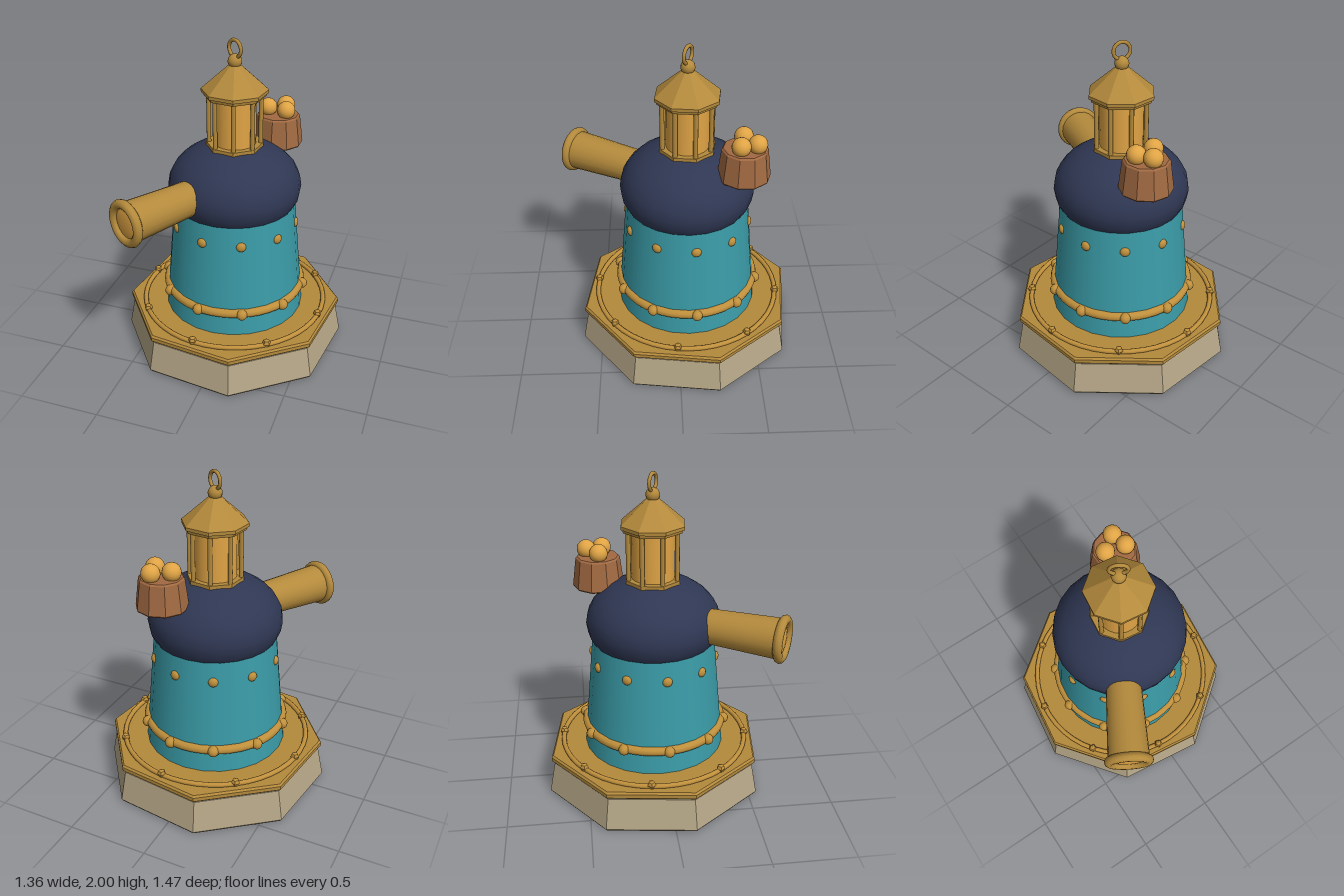
import * as THREE from 'three';

const mat = (name, color) => {
  const m = new THREE.MeshStandardMaterial({ color });
  m.name = name;
  return m;
};
const rad = THREE.MathUtils.degToRad;

export function createModel() {
  const stone = mat('stone', 0xb5a687);
  const gold = mat('gold', 0xb48a3c);
  const brass = mat('brass', 0xc0903c);
  const teal = mat('teal', 0x3a9ba7);
  const navy = mat('navy', 0x2f3753);
  const clay = mat('clay', 0xa26a42);
  const amber = mat('amber', 0xe0a445);

  const model = new THREE.Group();
  model.name = 'lanternTower';
  const tower = new THREE.Group(); // everything turns around this axis
  tower.name = 'tower';
  tower.position.z = -0.06;
  model.add(tower);

  const add = (parent, name, geometry, material, x = 0, y = 0, z = 0) => {
    const mesh = new THREE.Mesh(geometry, material);
    mesh.name = name;
    mesh.position.set(x, y, z);
    parent.add(mesh);
    return mesh;
  };
  const flat = (geometry) => {
    const g = geometry.index ? geometry.toNonIndexed() : geometry;
    g.computeVertexNormals();
    return g;
  };
  // faceted solid from [radius, height] pairs, bottom to top
  const faceted = (points, sides = 8, start = 15) =>
    flat(new THREE.LatheGeometry(points.map(([r, y]) => new THREE.Vector2(r, y)), sides, rad(start)));
  // calls place(x, z, angle) evenly around the axis
  const around = (count, startDeg, radius, place) => {
    for (let i = 0; i < count; i++) {
      const a = rad(startDeg + (i * 360) / count);
      place(Math.cos(a) * radius, Math.sin(a) * radius, a);
    }
  };
  const hoop = (parent, name, radius, tube, material, y) => {
    const mesh = add(parent, name, new THREE.TorusGeometry(radius, tube, 10, 48), material, 0, y, 0);
    mesh.rotation.x = Math.PI / 2;
    return mesh;
  };

  // octagonal plinth and its gold deck
  add(tower, 'plinth', faceted([[0, 0], [0.695, 0], [0.706, 0.015], [0.668, 0.21], [0.655, 0.22], [0, 0.22]]), stone);
  add(tower, 'deck', faceted([[0, 0.22], [0.675, 0.22], [0.685, 0.23], [0.685, 0.254], [0.674, 0.266], [0, 0.266]]), gold);
  hoop(tower, 'deckRing', 0.583, 0.015, brass, 0.28);
  const deckStud = flat(new THREE.SphereGeometry(0.027, 5, 4));
  around(8, 7.5, 0.583, (x, z) => add(tower, 'deckStud', deckStud, brass, x, 0.291, z));

  // tapered tower wall with band and rivets
  add(tower, 'wall', new THREE.CylinderGeometry(0.372, 0.441, 0.76, 24), teal, 0, 0.64, 0);
  hoop(tower, 'band', 0.425, 0.029, brass, 0.417);
  const bandStud = new THREE.SphereGeometry(0.034, 12, 8);
  around(10, 30, 0.443, (x, z) => add(tower, 'bandStud', bandStud, brass, x, 0.417, z));
  const rivet = new THREE.SphereGeometry(0.03, 12, 8);
  around(10, 30, 0.383, (x, z, a) => {
    const mesh = add(tower, 'rivet', rivet, brass, x, 0.86, z);
    mesh.scale.x = 0.65;
    mesh.rotation.y = -a;
  });

  // squashed dome
  add(tower, 'dome', new THREE.SphereGeometry(0.408, 24, 14), navy, 0, 1.09, 0).scale.y = 0.69;

  // lantern room
  const lantern = new THREE.Group();
  lantern.name = 'lantern';
  tower.add(lantern);
  add(lantern, 'lanternFloor', faceted([[0, 1.335], [0.172, 1.335], [0.172, 1.368], [0, 1.368]]), gold);
  add(lantern, 'lanternGlass', new THREE.CylinderGeometry(0.128, 0.128, 0.31, 24), amber, 0, 1.515, 0);
  const post = new THREE.CylinderGeometry(0.014, 0.014, 0.31, 8);
  around(8, 30, 0.154, (x, z) => add(lantern, 'lanternPost', post, gold, x, 1.515, z));
  add(lantern, 'lanternLintel', faceted([[0, 1.66], [0.183, 1.66], [0.188, 1.68], [0, 1.68]]), gold);
  add(lantern, 'roof', faceted([[0, 1.68], [0.198, 1.68], [0.198, 1.7], [0.035, 1.845], [0, 1.845]]), gold);
  add(lantern, 'finial', new THREE.SphereGeometry(0.042, 14, 10), gold, 0, 1.866, 0);
  add(lantern, 'hangingRing', new THREE.TorusGeometry(0.05, 0.011, 8, 24), gold, 0, 1.939, 0).rotation.y = rad(-30);

  // telescope pointing out of the dome
  const scope = new THREE.Group();
  scope.name = 'telescope';
  scope.position.y = 1.11;
  scope.rotation.y = rad(-30);
  tower.add(scope);
  add(scope, 'telescopeTube', new THREE.CylinderGeometry(0.122, 0.1, 0.6, 20), gold, 0, 0, 0.505)
    .rotation.x = Math.PI / 2;
  add(scope, 'telescopeRim', new THREE.TorusGeometry(0.115, 0.028, 10, 28), gold, 0, 0, 0.807);
  add(scope, 'telescopeLens', new THREE.SphereGeometry(0.092, 20, 12), amber, 0, 0, 0.805).scale.z = 0.15;

  // clay pot with three balls
  const pot = new THREE.Group();
  pot.name = 'pot';
  pot.position.set(0.18, 1.26, -0.318);
  tower.add(pot);
  add(pot, 'potBody', faceted([[0, 0], [0.151, 0], [0.156, 0.008], [0.134, 0.18], [0.125, 0.19], [0, 0.19]], 10, 0), clay);
  const ball = new THREE.SphereGeometry(0.056, 18, 12);
  [[0.03, -0.068], [-0.065, 0.002], [0.056, 0.028]].forEach(([x, z]) =>
    add(pot, 'ball', ball, amber, x, 0.226, z));

  return model;
}
